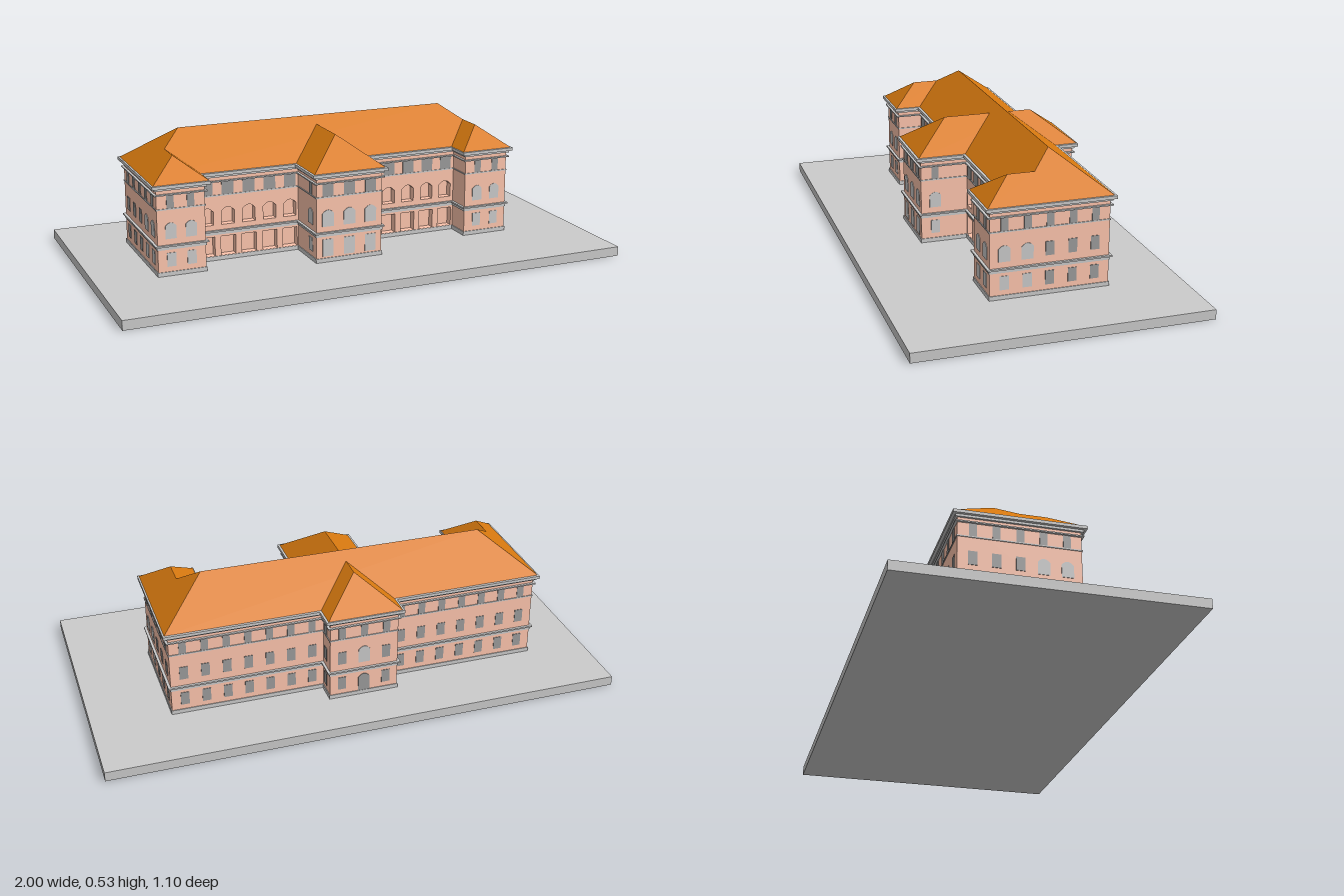
import * as THREE from 'three';

const CX = -0.035;      // building's middle, x
const GROUND = 0.037;   // top of the ground slab
const EAVE = 0.385, SLOPE = 0.757;
const mat = (color) => new THREE.MeshStandardMaterial({ color, flatShading: true, side: THREE.DoubleSide });

export function createModel() {
  const root = new THREE.Group();
  const grey = mat(0xcccccc), dark = mat(0x9c9c9c), wall = mat(0xffc6ae), tile = mat(0xd97a10);
  const building = new THREE.Group();
  building.name = 'building';
  building.position.x = CX;

  const add = (geo, material, name, parent = building) => {
    const m = new THREE.Mesh(geo, material);
    m.name = name;
    parent.add(m);
    return m;
  };

  // Ground slab
  add(new THREE.BoxGeometry(2, GROUND, 1.1), grey, 'groundSlab', root).position.y = GROUND / 2;

  // Floor plan grown outward by o; r is the z of the recessed front wall
  const footprint = (o, r = 0.08) => {
    const half = [
      [0.135 + o, 0.265 + o], [0.135 + o, r + o], [0.545 - o, r + o], [0.545 - o, 0.18 + o],
      [0.73 + o, 0.18 + o], [0.73 + o, -0.27 - o], [0.135 + o, -0.27 - o], [0.135 + o, -0.355 - o],
    ];
    const all = [...half, ...half.map(([x, z]) => [-x, z]).reverse()];
    return new THREE.Shape(all.map(([x, z]) => new THREE.Vector2(x, -z)));
  };
  const storey = (y0, y1, o, material, name, r) => {
    const geo = new THREE.ExtrudeGeometry(footprint(o, r), { depth: y1 - y0, bevelEnabled: false });
    geo.rotateX(-Math.PI / 2);
    add(geo, material, name).position.y = y0;
  };

  // Walls, ledges and cornice
  storey(GROUND, 0.375, 0, wall, 'walls', 0.05);
  storey(GROUND, 0.053, 0.003, grey, 'plinth');
  storey(0.139, 0.151, 0.003, grey, 'floorBand');
  storey(0.151, 0.157, 0.01, grey, 'floorLedge');
  storey(0.291, 0.296, 0.003, grey, 'upperSillBand');
  storey(0.347, 0.352, 0.009, grey, 'lowerCornice');
  storey(0.366, 0.375, 0.008, grey, 'upperCornice');
  storey(0.375, EAVE + 0.002, 0.019, grey, 'eaves');

  // Rectangular or round-topped opening, sitting on y
  const opening = (Type, x, y, w, h, arched) => {
    const s = new Type();
    const top = arched ? h - w * 0.3 : h;
    s.moveTo(x - w / 2, y);
    s.lineTo(x + w / 2, y);
    s.lineTo(x + w / 2, y + top);
    if (arched) s.quadraticCurveTo(x, y + top + w * 0.6, x - w / 2, y + top);
    else s.lineTo(x - w / 2, y + top);
    s.closePath();
    return s;
  };

  // Arcaded walls between the central block and the wings
  const bays = [0.17, 0.254, 0.339, 0.423, 0.507];
  for (const side of [-1, 1]) {
    const s = new THREE.Shape();
    const a = side * 0.135, b = side * 0.545;
    s.moveTo(a, GROUND);
    s.lineTo(b, GROUND);
    s.lineTo(b, 0.375);
    s.lineTo(a, 0.375);
    s.closePath();
    for (const x of bays) {
      s.holes.push(opening(THREE.Path, side * x, 0.054, 0.06, 0.076, false));
      s.holes.push(opening(THREE.Path, side * x, 0.177, 0.052, 0.068, true));
    }
    const geo = new THREE.ExtrudeGeometry(s, { depth: 0.03, bevelEnabled: false, curveSegments: 6 });
    add(geo, wall, 'arcadeWall').position.z = 0.05;
  }

  // Window panel on a wall facing the given angle; d is the wall's distance along that direction
  const windows = new THREE.Group();
  windows.name = 'windows';
  building.add(windows);
  const win = (angle, d, u, y, w, h, material, arched = false) => {
    const geo = new THREE.ExtrudeGeometry(opening(THREE.Shape, u, y, w, h, arched),
      { depth: 0.005, bevelEnabled: false, curveSegments: 6 });
    geo.translate(0, 0, d - 0.003);
    geo.rotateY(angle);
    add(geo, material, 'window', windows);
  };
  const topWin = (angle, d, u, w = 0.028) => win(angle, d, u, 0.296, w, 0.051, dark);
  const plainStack = (angle, d, u) => {
    win(angle, d, u, 0.073, 0.033, 0.053, dark);
    win(angle, d, u, 0.185, 0.033, 0.053, dark);
    topWin(angle, d, u);
  };
  const grandStack = (angle, d, u, w = 0.045) => {
    win(angle, d, u, 0.073, 0.035, 0.053, grey);
    win(angle, d, u, 0.18, w, 0.062, grey, true);
    topWin(angle, d, u);
  };

  // Front windows
  for (const side of [-1, 1]) {
    for (const x of [0.6, 0.678]) grandStack(0, 0.18, side * x, 0.042);
    for (const x of bays) topWin(0, 0.08, side * x, 0.048);
  }
  for (const x of [-0.088, 0, 0.088]) {
    win(0, 0.265, x, 0.06, 0.045, 0.068, grey);
    win(0, 0.265, x, 0.178, 0.048, 0.066, grey, true);
    topWin(0, 0.265, x, 0.045);
  }

  // Side windows; u runs along -z on the left wall and +z on the right wall
  for (const side of [-1, 1]) {
    const angle = side * Math.PI / 2;
    for (const z of [0.126, 0.04]) grandStack(angle, 0.73, -side * z);
    for (const z of [-0.044, -0.13, -0.215]) plainStack(angle, 0.73, -side * z);
    grandStack(angle, 0.135, -side * 0.209);
    plainStack(angle, 0.135, side * 0.302);
  }

  // Back windows
  for (const side of [-1, 1]) {
    for (let i = 0; i < 7; i++) plainStack(Math.PI, 0.27, side * (0.18 + i * 0.083));
    plainStack(Math.PI, 0.355, side * 0.088);
  }
  win(Math.PI, 0.355, 0, GROUND, 0.045, 0.09, dark, true);
  win(Math.PI, 0.355, 0, 0.18, 0.045, 0.07, grey, true);
  topWin(Math.PI, 0.355, 0);

  // Hipped roof with its ridge along z; backInset 0 leaves an upright end
  const roof = (w, back, front, backInset, name) => {
    const h = w * SLOPE;
    const A = [-w, 0, front], B = [w, 0, front], C = [w, 0, back], D = [-w, 0, back];
    const R = [0, h, front - w], S = [0, h, back + backInset];
    const faces = [A, B, R, B, C, S, B, S, R, C, D, S, D, A, R, D, R, S];
    const geo = new THREE.BufferGeometry();
    geo.setAttribute('position', new THREE.Float32BufferAttribute(faces.flat(), 3));
    geo.computeVertexNormals();
    const m = add(geo, tile, name);
    m.position.y = EAVE + 0.003;
    return m;
  };
  const main = roof(0.185, -0.743, 0.743, 0.185, 'mainRoof');
  main.rotation.y = Math.PI / 2;
  main.position.z = -0.095;
  roof(0.146, -0.37, 0.275, 0.146, 'centralRoof');
  for (const side of [-1, 1]) roof(0.107, -0.017, 0.192, 0, 'wingRoof').position.x = side * 0.636;

  root.add(building);
  return root;
}
